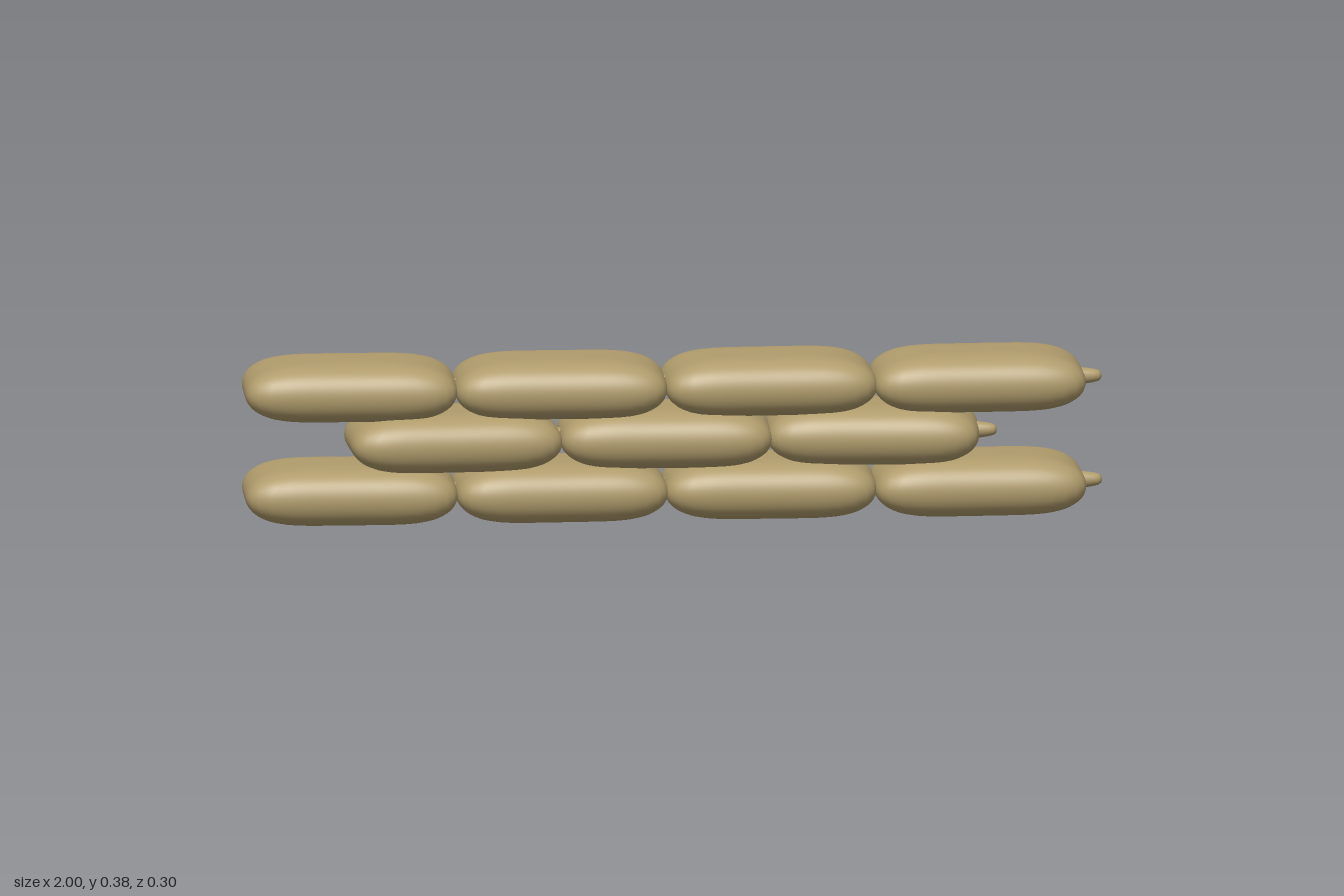
import * as THREE from 'three';
import { mergeVertices } from 'three/addons/utils/BufferGeometryUtils.js';

// Stuffed bag: rounded-rectangle plan with a softly bulging top and bottom
function bagGeometry(halfLength, halfHeight, halfDepth) {
  let geo = new THREE.SphereGeometry(1, 64, 32);
  geo.deleteAttribute('uv');
  geo.deleteAttribute('normal');
  const p = geo.attributes.position;
  for (let i = 0; i < p.count; i++) {
    const x = p.getX(i), z = p.getZ(i);
    const ring = Math.hypot(x, z);
    if (ring < 1e-6) {
      p.setXYZ(i, 0, Math.sign(p.getY(i)) * halfHeight, 0);
      continue;
    }
    const c = x / ring, s = z / ring;
    const r = Math.sqrt(ring) / Math.pow(c ** 6 + s ** 6, 1 / 6);
    p.setXYZ(i, c * r * halfLength, p.getY(i) * halfHeight, s * r * halfDepth);
  }
  geo = mergeVertices(geo, 1e-5);
  geo.computeVertexNormals();
  return geo;
}

// Tied neck: short tapering stub with a rounded tip, pointing along +x
function neckGeometry() {
  const profile = [[0.02, 0], [0.019, 0.02], [0.016, 0.04], [0.013, 0.052], [0.008, 0.058], [0, 0.06]];
  const geo = new THREE.LatheGeometry(profile.map(([r, y]) => new THREE.Vector2(r, y)), 20);
  geo.rotateZ(-Math.PI / 2);
  geo.translate(0.23, 0, 0);
  return geo;
}

export function createModel() {
  const model = new THREE.Group();
  model.name = 'sandbagWall';
  const burlap = new THREE.MeshStandardMaterial({ color: 0xb09c6c });
  burlap.name = 'burlap';

  const bagGeo = bagGeometry(0.247, 0.07, 0.138);
  const neckGeo = neckGeometry();

  // Each course: height, then bags as [x, z, yaw]
  const courses = [
    { name: 'bottomCourse', y: 0.073, bags: [
      [-0.753, 0, -0.02], [-0.265, 0.002, 0.015], [0.222, -0.002, -0.015], [0.708, 0.004, 0.018]] },
    { name: 'middleCourse', y: 0.196, bags: [
      [-0.513, 0.008, 0.04], [-0.02, -0.005, -0.02], [0.463, -0.007, -0.05]] },
    { name: 'topCourse', y: 0.316, bags: [
      [-0.753, -0.007, -0.025], [-0.265, -0.003, -0.02], [0.222, -0.008, 0.02], [0.708, -0.009, 0.015]] },
  ];

  for (const { name, y, bags } of courses) {
    const course = new THREE.Group();
    course.name = name;
    for (const [x, z, yaw] of bags) {
      const sandbag = new THREE.Group();
      sandbag.name = 'sandbag';
      const body = new THREE.Mesh(bagGeo, burlap);
      body.name = 'bagBody';
      const neck = new THREE.Mesh(neckGeo, burlap);
      neck.name = 'tiedNeck';
      sandbag.add(body, neck);
      sandbag.position.set(x, y, z);
      sandbag.rotation.y = yaw;
      course.add(sandbag);
    }
    model.add(course);
  }
  return model;
}
